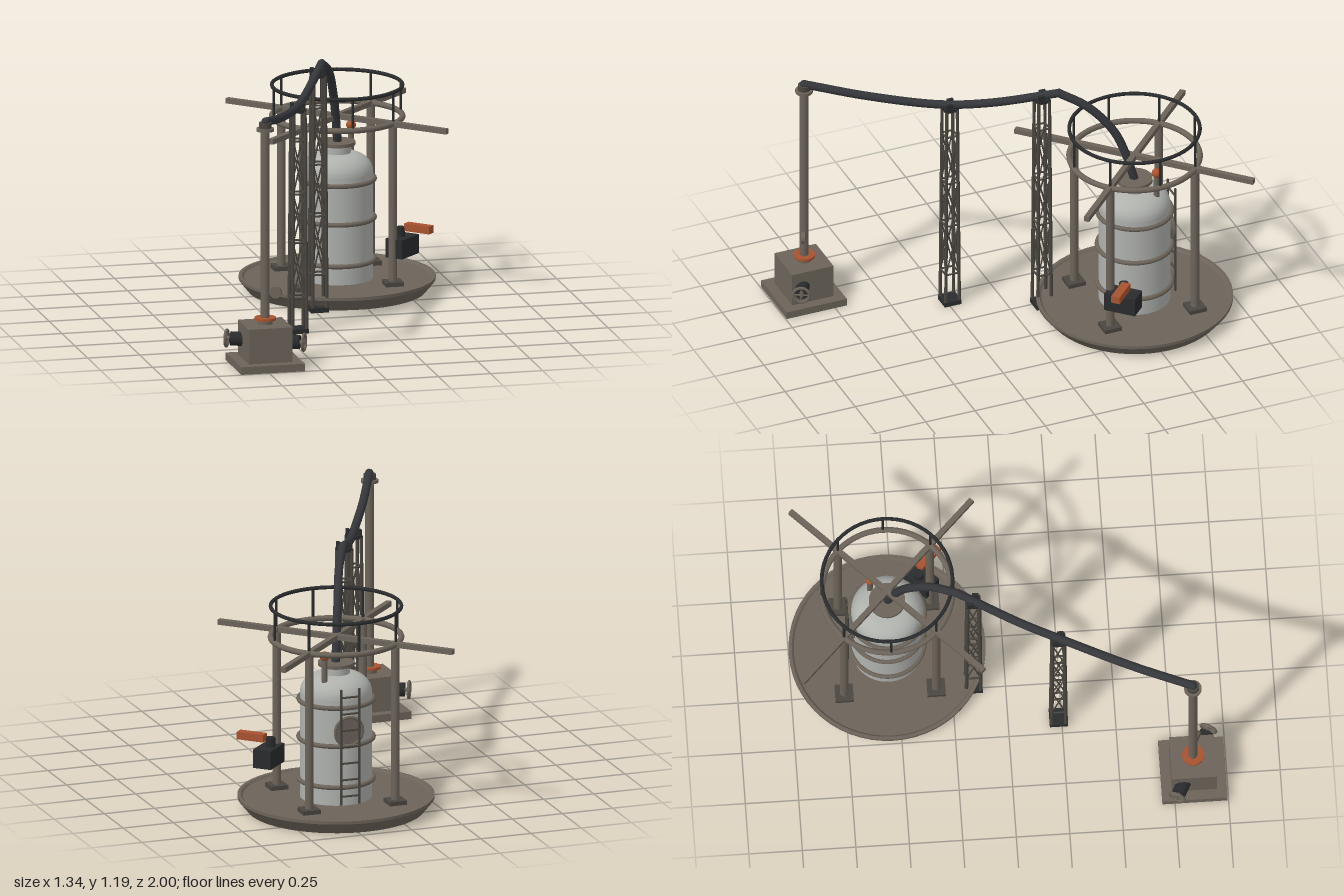
import * as THREE from 'three';

const V = (x, y, z) => new THREE.Vector3(x, y, z);
const mat = (name, color) => new THREE.MeshStandardMaterial({ name, color });

export function createModel() {
  const steel = mat('weathered steel', 0x6c645a);
  const lattice = mat('dark steel', 0x4a4640);
  const black = mat('black iron', 0x292b2c);
  const rubber = mat('hose rubber', 0x34363a);
  const pale = mat('pale tank paint', 0xb0b2ae);
  const rust = mat('rust orange', 0xa8532f);
  const root = new THREE.Group();

  const group = (name, parent, x, y, z) => {
    const g = new THREE.Group();
    g.name = name;
    g.position.set(x, y, z);
    parent.add(g);
    return g;
  };
  const add = (name, parent, geo, m, x = 0, y = 0, z = 0) => {
    const mesh = new THREE.Mesh(geo, m);
    mesh.name = name;
    mesh.position.set(x, y, z);
    parent.add(mesh);
    return mesh;
  };
  const box = (name, p, m, w, h, d, x, y, z) => add(name, p, new THREE.BoxGeometry(w, h, d), m, x, y, z);
  const cyl = (name, p, m, r, h, x, y, z, seg = 24) =>
    add(name, p, new THREE.CylinderGeometry(r, r, h, seg), m, x, y, z);
  const ring = (name, p, m, r, t, y) => {
    const o = add(name, p, new THREE.TorusGeometry(r, t, 10, 56), m, 0, y, 0);
    o.rotation.x = Math.PI / 2;
    return o;
  };
  // Straight round bar between two points
  const bar = (name, p, m, a, b, r, seg = 8) => {
    const d = b.clone().sub(a);
    const o = cyl(name, p, m, r, d.length(), 0, 0, 0, seg);
    o.position.copy(a).add(b).multiplyScalar(0.5);
    o.quaternion.setFromUnitVectors(V(0, 1, 0), d.normalize());
    return o;
  };
  // Each pair of points gets its own faces so hard steps stay crisp
  const lathe = (name, p, m, pts) => {
    for (let i = 0; i < pts.length - 1; i++) {
      const seg = [pts[i], pts[i + 1]].map(([r, y]) => new THREE.Vector2(r, y));
      add(name, p, new THREE.LatheGeometry(seg, 56), m);
    }
  };

  // Round platform
  const plant = group('tankPlatform', root, 0.205, 0, -0.54);
  lathe('dish', plant, steel, [[0, 0], [0.415, 0], [0.46, 0.055], [0.46, 0.07], [0.445, 0.07], [0.435, 0.06], [0, 0.06]]);

  // Tank with domed shoulder, neck and hoops
  cyl('tankBody', plant, pale, 0.168, 0.51, 0, 0.315, 0, 56);
  const dome = [];
  for (let i = 0; i <= 10; i++) {
    const a = (i / 10) * Math.PI / 2;
    dome.push(new THREE.Vector2(0.06 + 0.108 * Math.cos(a), 0.57 + 0.09 * Math.sin(a)));
  }
  add('tankShoulder', plant, new THREE.LatheGeometry(dome, 56), pale);
  cyl('tankNeck', plant, pale, 0.065, 0.06, 0, 0.67, 0, 36);
  cyl('neckFlange', plant, steel, 0.085, 0.016, 0, 0.705, 0, 36);
  for (const y of [0.15, 0.35, 0.535]) ring('tankHoop', plant, steel, 0.175, 0.011, y);

  // Relief stem with ball
  cyl('reliefStem', plant, steel, 0.014, 0.13, 0.085, 0.69, -0.075, 16);
  add('reliefBall', plant, new THREE.SphereGeometry(0.023, 20, 14), rust, 0.085, 0.768, -0.075);

  // Rear hatch and ladder
  const hatch = group('rearHatch', plant, 0, 0.42, -0.165);
  cyl('hatchCover', hatch, steel, 0.068, 0.022, 0, 0, 0, 32).rotation.x = Math.PI / 2;
  add('hatchRim', hatch, new THREE.TorusGeometry(0.068, 0.008, 8, 32), steel, 0, 0, -0.008);
  for (const x of [-0.045, 0.045]) bar('ladderRail', plant, lattice, V(x, 0.07, -0.187), V(x, 0.63, -0.187), 0.006);
  for (let i = 0; i < 7; i++) {
    const y = 0.11 + i * 0.08;
    bar('ladderRung', plant, lattice, V(-0.045, y, -0.187), V(0.045, y, -0.187), 0.005);
  }

  // Gantry: posts, ring and crossed beams
  for (const sx of [-1, 1]) for (const sz of [-1, 1]) {
    cyl('gantryPost', plant, steel, 0.02, 0.77, sx * 0.215, 0.445, sz * 0.215, 20);
    box('postFoot', plant, lattice, 0.085, 0.02, 0.085, sx * 0.215, 0.07, sz * 0.215);
  }
  ring('gantryRing', plant, steel, 0.305, 0.014, 0.833);
  for (const s of [-1, 1]) {
    box('crossBeam', plant, steel, 1.2, 0.025, 0.026, 0, 0.833, 0).rotation.y = s * Math.PI / 4;
  }

  // Guard rail
  ring('guardRail', plant, black, 0.305, 0.009, 0.983);
  for (let i = 0; i < 8; i++) {
    const a = i * Math.PI / 4;
    cyl('guardPost', plant, black, 0.006, 0.15, 0.305 * Math.cos(a), 0.91, 0.305 * Math.sin(a), 10);
  }

  // Control box with lever on the front left post
  const control = group('controlBox', root, 0.475, 0, -0.367);
  control.rotation.y = Math.PI / 4;
  box('controlHousing', control, black, 0.155, 0.09, 0.09, 0, 0.235, 0);
  cyl('leverPivot', control, black, 0.022, 0.05, 0, 0.3, -0.01, 20);
  box('leverHandle', control, rust, 0.042, 0.036, 0.135, 0.02, 0.325, 0.078);

  // Lattice towers carrying the hose
  const tower = (x, z, h) => {
    const t = group('latticeTower', root, x, 0, z);
    const half = (y) => 0.034 - 0.007 * y / h;
    const corners = [[-1, -1], [1, -1], [1, 1], [-1, 1]];
    const at = (i, y) => V(corners[i % 4][0] * half(y), y, corners[i % 4][1] * half(y));
    const levels = [0.02, 0.16, 0.41, 0.63, 0.87, 1].map((f) => f * (h - 0.02));
    box('towerFoot', t, black, 0.085, 0.022, 0.085, 0, 0.011, 0);
    box('towerCap', t, black, 0.065, 0.016, 0.065, 0, h - 0.015, 0);
    for (let i = 0; i < 4; i++) {
      bar('towerLeg', t, lattice, at(i, 0.01), at(i, h - 0.015), 0.0085);
      for (let k = 1; k < levels.length; k++) {
        bar('towerRung', t, lattice, at(i, levels[k]), at(i + 1, levels[k]), 0.005, 6);
        if (k === 1 || k === 5) continue;
        bar('towerBrace', t, lattice, at(i, levels[k - 1]), at(i + 1, levels[k]), 0.004, 6);
        bar('towerBrace', t, lattice, at(i + 1, levels[k - 1]), at(i, levels[k]), 0.004, 6);
      }
    }
    // Saddle under the hose
    for (const s of [-1, 1]) box('hoseSaddle', t, black, 0.014, 0.04, 0.03, s * 0.024, h, s * 0.012);
  };
  tower(-0.175, 0.235, 1.08);
  tower(0.017, -0.15, 1.145);

  // Hose: sagging span, then a drop into the tank neck
  const tube = (name, pts) =>
    add(name, root, new THREE.TubeGeometry(new THREE.CatmullRomCurve3(pts), 48, 0.02, 16), rubber);
  tube('hoseSpan', [V(-0.48, 1.17, 0.843), V(-0.345, 1.115, 0.57), V(-0.19, 1.086, 0.27), V(-0.09, 1.102, 0.06), V(0.052, 1.168, -0.222)]);
  tube('hoseDrop', [V(0.052, 1.168, -0.222), V(0.115, 1.1, -0.34), V(0.163, 0.97, -0.45), V(0.187, 0.85, -0.5), V(0.207, 0.7, -0.54)]);
  for (const p of [V(-0.48, 1.17, 0.843), V(0.052, 1.168, -0.222)]) {
    add('hoseJoint', root, new THREE.SphereGeometry(0.0205, 18, 12), rubber, p.x, p.y, p.z);
  }

  // Pump block and standpipe
  const pump = group('pumpStation', root, -0.482, 0, 0.843);
  box('pumpSlab', pump, steel, 0.305, 0.036, 0.305, 0, 0.018, 0);
  box('pumpBlock', pump, steel, 0.21, 0.166, 0.21, 0, 0.119, 0);
  cyl('standpipe', pump, steel, 0.021, 0.96, 0, 0.68, 0, 24);
  cyl('pipeCollar', pump, steel, 0.034, 0.022, 0, 0.21, 0, 28);
  cyl('collarRing', pump, rust, 0.051, 0.012, 0, 0.227, 0, 32);
  cyl('topFlange', pump, steel, 0.041, 0.014, 0, 1.133, 0, 28);
  cyl('topCoupling', pump, lattice, 0.029, 0.03, 0, 1.152, 0, 24);

  // Gauge and side outlets, square to the hose line
  const fittings = group('pumpFittings', pump, 0, 0, 0);
  fittings.rotation.y = -0.47;
  bar('gaugeStem', fittings, steel, V(0, 0.355, 0), V(0.05, 0.355, 0), 0.007);
  cyl('gauge', fittings, steel, 0.028, 0.018, 0.05, 0.355, 0, 28).rotation.x = Math.PI / 2;
  for (const s of [-1, 1]) {
    bar('outlet', fittings, black, V(s * 0.08, 0.122, 0), V(s * 0.165, 0.122, 0), 0.033, 24);
    add('handwheelRim', fittings, new THREE.TorusGeometry(0.038, 0.007, 10, 28), steel, s * 0.185, 0.122, 0).rotation.y = Math.PI / 2;
    bar('handwheelHub', fittings, steel, V(s * 0.16, 0.122, 0), V(s * 0.19, 0.122, 0), 0.01, 12);
    bar('handwheelSpoke', fittings, steel, V(s * 0.185, 0.084, 0), V(s * 0.185, 0.16, 0), 0.004);
    bar('handwheelSpoke', fittings, steel, V(s * 0.185, 0.122, -0.038), V(s * 0.185, 0.122, 0.038), 0.004);
  }
  return root;
}
